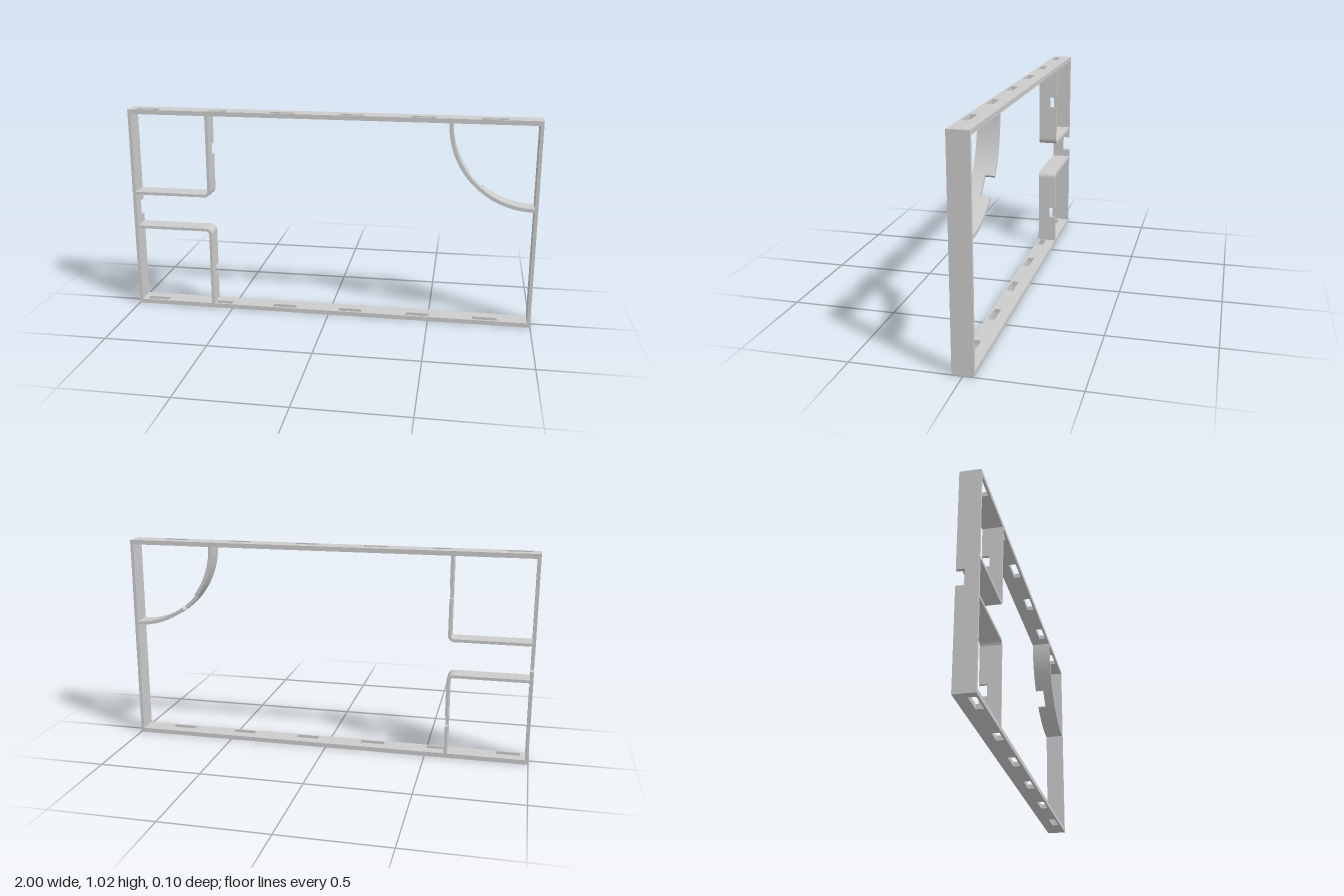
import * as THREE from 'three';
import { toCreasedNormals } from 'three/addons/utils/BufferGeometryUtils.js';

const H = 1.02, D = 0.048;          // overall height, half depth
const RAIL = 0.022, SIDE = 0.016;   // rail and side thickness
const WALL = 0.014;                 // inner wall thickness
const WALL_X = -0.595;              // outer face of the pen walls

export function createModel() {
  const group = new THREE.Group();
  const material = new THREE.MeshStandardMaterial({ color: 0xcccccc });

  const add = (name, geometry, x = 0, y = 0, z = 0) => {
    const mesh = new THREE.Mesh(geometry, material);
    mesh.name = name;
    mesh.position.set(x, y, z);
    group.add(mesh);
    return mesh;
  };
  const extrude = (shape, depth) =>
    new THREE.ExtrudeGeometry(shape, { depth, bevelEnabled: false, curveSegments: 24 });
  const shapeOf = (pts) => new THREE.Shape(pts.map(([a, b]) => new THREE.Vector2(a, b)));

  // Vertical plate with a notch cut into its back edge
  const notchedPlate = (name, x, thickness, y0, y1, n0, n1, depth) => {
    const shape = shapeOf([[-D, y0], [D, y0], [D, n0], [D - depth, n0],
      [D - depth, n1], [D, n1], [D, y1], [-D, y1]]);
    add(name, extrude(shape, thickness).rotateY(Math.PI / 2), x);
  };

  // Ring sector standing through the depth, from z0 to the front
  const sector = (name, cx, cy, rOut, rIn, a0, a1, z0 = -D) => {
    const shape = new THREE.Shape();
    shape.absarc(0, 0, rOut, a0, a1, false);
    shape.absarc(0, 0, rIn, a1, a0, true);
    add(name, toCreasedNormals(extrude(shape, D - z0), 0.5), cx, cy, z0);
  };

  // Top and bottom rails with a row of slots
  const slots = [[-0.96, -0.845], [-0.59, -0.505], [-0.29, -0.17],
    [0.05, 0.165], [0.39, 0.505], [0.72, 0.84]];
  const railShape = shapeOf([[-1, -D], [1, -D], [1, D], [-1, D]]);
  for (const [a, b] of slots) {
    railShape.holes.push(shapeOf([[a, -0.038], [a, -0.005], [b, -0.005], [b, -0.038]]));
  }
  const rail = extrude(railShape, RAIL).rotateX(-Math.PI / 2);
  add('bottomRail', rail);
  add('topRail', rail, 0, H - RAIL);

  // Side walls
  const inner = H - 2 * RAIL;
  add('leftSide', new THREE.BoxGeometry(SIDE, inner, 2 * D), 1 - SIDE / 2, H / 2);
  notchedPlate('rightSide', -1, SIDE, RAIL, H - RAIL, 0.465, 0.54, 0.036);

  // Two corner pens: notched wall, rounded corner, horizontal shelf
  const r = 0.03;
  const shelf = (name, y) => {
    const x0 = -1 + SIDE, x1 = WALL_X - r;
    add(name, new THREE.BoxGeometry(x1 - x0, WALL, 2 * D), (x0 + x1) / 2, y);
  };
  const lowerTop = 0.424, upperBottom = 0.588;
  notchedPlate('lowerPenWall', WALL_X - WALL, WALL, RAIL, lowerTop - r, 0.16, 0.215, 0.036);
  sector('lowerPenCorner', WALL_X - r, lowerTop - r, r, r - WALL, 0, Math.PI / 2);
  shelf('lowerPenShelf', lowerTop - WALL / 2);
  notchedPlate('upperPenWall', WALL_X - WALL, WALL, upperBottom + r, H - RAIL, 0.795, 0.85, 0.036);
  sector('upperPenCorner', WALL_X - r, upperBottom + r, r, r - WALL, -Math.PI / 2, 0);
  shelf('upperPenShelf', upperBottom + WALL / 2);

  // Quarter-round wall in the opposite corner, cut down in the middle
  const deg = Math.PI / 180;
  const arc = (name, a0, a1, z0) =>
    sector(name, 1 - SIDE, H - RAIL, 0.413, 0.396, a0 * deg, a1 * deg, z0);
  arc('curvedWallUpper', 180, 218);
  arc('curvedWallNotch', 218, 232, -D + 0.042);
  arc('curvedWallLower', 232, 270);

  return group;
}
